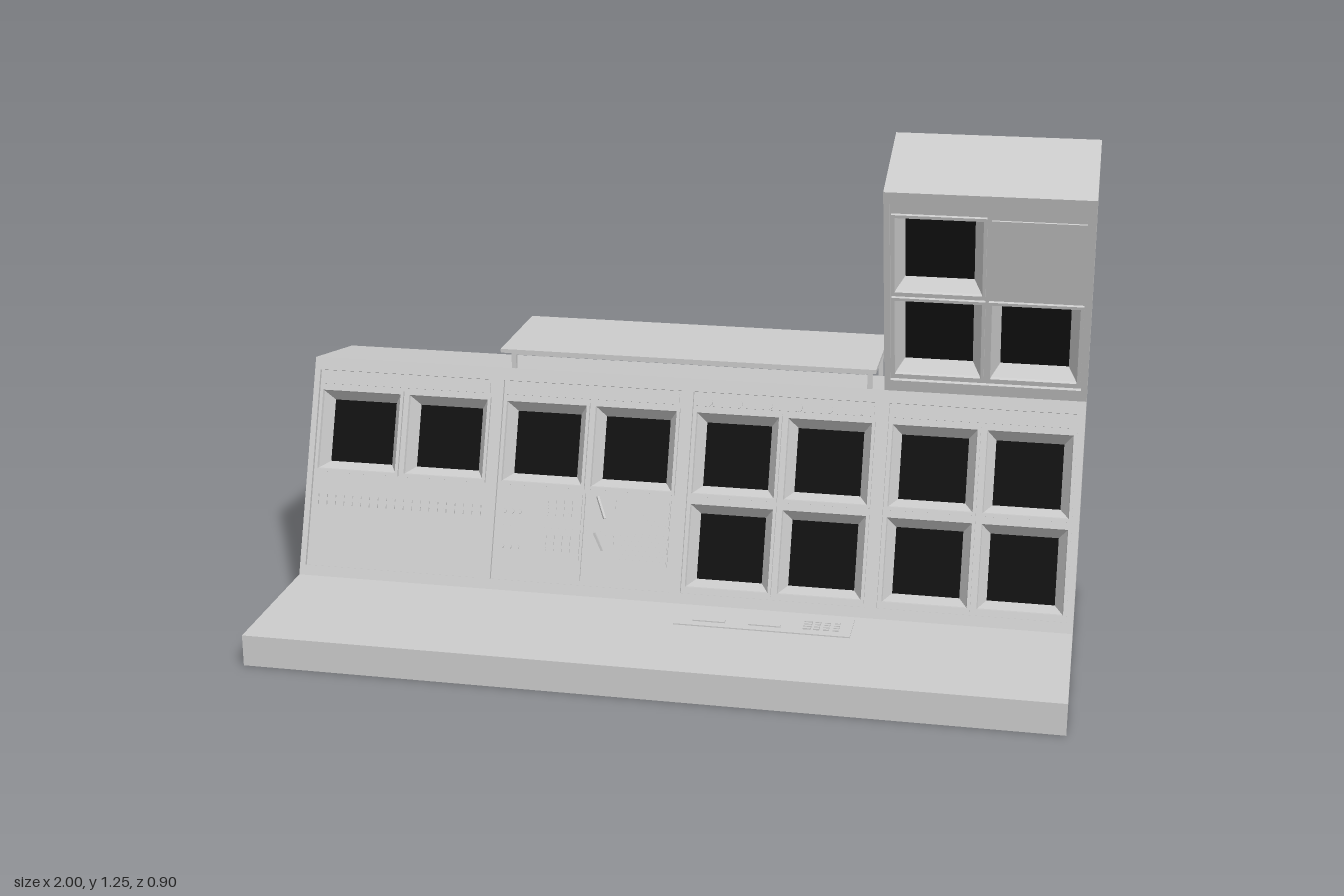
import * as THREE from 'three';

const grey = new THREE.MeshStandardMaterial({ color: 0xcccccc, side: THREE.DoubleSide });
const black = new THREE.MeshStandardMaterial({ color: 0x111111, side: THREE.DoubleSide });

function add(parent, name, geo, x = 0, y = 0, z = 0, mat = grey) {
  const m = new THREE.Mesh(geo, mat);
  m.name = name;
  m.position.set(x, y, z);
  parent.add(m);
  return m;
}
const box = (parent, name, w, h, d, x, y, z, mat) => add(parent, name, new THREE.BoxGeometry(w, h, d), x, y, z, mat);

// Flat sheet bounded by [a, b] points, with rectangular holes [x0, x1, y0, y1]
function sheet(points, holes = []) {
  const s = new THREE.Shape(points.map(p => new THREE.Vector2(...p)));
  for (const [x0, x1, y0, y1] of holes)
    s.holes.push(new THREE.Path([[x0, y0], [x0, y1], [x1, y1], [x1, y0]].map(p => new THREE.Vector2(...p))));
  return new THREE.ShapeGeometry(s);
}
const rect = ([x0, x1, y0, y1]) => [[x0, y0], [x1, y0], [x1, y1], [x0, y1]];

// Rectangular ring surface through successive [inset, z] loops
function rectLoft([x0, x1, y0, y1], loops) {
  const pos = [], idx = [];
  for (const [i, z] of loops)
    pos.push(x0 + i, y0 + i, z, x1 - i, y0 + i, z, x1 - i, y1 - i, z, x0 + i, y1 - i, z);
  for (let l = 0; l < loops.length - 1; l++)
    for (let k = 0; k < 4; k++) {
      const a = l * 4 + k, b = l * 4 + (k + 1) % 4;
      idx.push(a, b, b + 4, a, b + 4, a + 4);
    }
  let g = new THREE.BufferGeometry();
  g.setAttribute('position', new THREE.Float32BufferAttribute(pos, 3));
  g.setIndex(idx);
  g = g.toNonIndexed();
  g.computeVertexNormals();
  return g;
}

// Quad strip across x following a [z, y] path
function strip(parent, name, x0, x1, path) {
  for (let i = 0; i < path.length - 1; i++) {
    const [z0, y0] = path[i], [z1, y1] = path[i + 1];
    const m = add(parent, name, new THREE.PlaneGeometry(x1 - x0, Math.hypot(z1 - z0, y1 - y0)),
      (x0 + x1) / 2, (y0 + y1) / 2, (z0 + z1) / 2);
    m.rotation.x = Math.atan2(z1 - z0, y1 - y0);
  }
}

// Side wall from a [z, y] outline
function wall(parent, name, x, outline) {
  add(parent, name, sheet(outline.map(([z, y]) => [-z, y])), x).rotation.y = Math.PI / 2;
}

// Bar between two points
function bar(parent, name, a, b, t) {
  const A = new THREE.Vector3(...a), B = new THREE.Vector3(...b);
  const m = box(parent, name, t, t, A.distanceTo(B), 0, 0, 0);
  m.position.copy(A).add(B).multiplyScalar(0.5);
  m.lookAt(B);
}

const SET = -0.01; // depth of the bay panels behind the sloped face

// Sloped face whose local y runs up the slope and local z points outward
function face(parent, name, [z0, y0], [z1, y1]) {
  const g = new THREE.Group();
  g.name = name;
  g.position.set(0, y0, z0);
  g.rotation.x = Math.atan2(z1 - z0, y1 - y0);
  parent.add(g);
  const len = Math.hypot(z1 - z0, y1 - y0);
  return { g, len, V: y => (y - y0) * len / (y1 - y0) };
}

function monitor(g, r) {
  add(g, 'monitorBezel', rectLoft(r, [[0, SET], [0, -0.002], [0.008, -0.002], [0.01, SET], [0.03, -0.045]]));
  const [x0, x1, y0, y1] = r;
  add(g, 'monitorScreen', new THREE.PlaneGeometry(x1 - x0 - 0.06, y1 - y0 - 0.06),
    (x0 + x1) / 2, (y0 + y1) / 2, -0.045, black);
}

// Recessed bay with its monitors and header strip
function bay(g, r, screens, headerY) {
  add(g, 'bayEdge', rectLoft(r, [[0, 0], [0, SET]]));
  add(g, 'bayPanel', sheet(rect(r), screens), 0, 0, SET);
  screens.forEach(s => monitor(g, s));
  box(g, 'headerStrip', 0.455, 0.026, 0.005, (r[0] + r[1]) / 2, headerY, SET + 0.002);
}

function knob(g, x, y, r, d = 0.008) {
  add(g, 'knob', new THREE.CylinderGeometry(r, r, d, 10), x, y, SET + d / 2).rotation.x = Math.PI / 2;
}

export function createModel() {
  const root = new THREE.Group();
  root.name = 'controlConsole';
  const desk = [0.05, 0.08], ridge = [-0.155, 0.615], brow = [0.02, 1.16], back = [-0.435, 0.565];

  // Open-backed shell
  strip(root, 'desk', -1, 1, [[0.45, 0], [0.45, 0.08], desk]);
  strip(root, 'consoleTop', -1, 1, [ridge, back]);
  for (const x of [-1, 1])
    wall(root, 'endWall', x, [[0.45, 0], [0.45, 0.08], desk, ridge, back, [-0.435, 0]]);
  for (const x of [0.5, 1])
    wall(root, 'towerWall', x, [ridge, brow, [-0.26, 1.25], [-0.44, 0.85], [-0.44, 0.565]]);
  strip(root, 'towerTop', 0.5, 1, [brow, [-0.26, 1.25]]);

  // Lower sloped face with four bays
  const low = face(root, 'lowerFace', desk, ridge), { g, V } = low;
  const bays = [-0.75, -0.25, 0.25, 0.75].map(c => [c - 0.235, c + 0.235, V(0.105), V(0.585)]);
  add(g, 'facePanel', sheet(rect([-1, 1, 0, low.len]), bays));
  const row = (c, y0, y1, v) => [[c - 0.232, c - 0.004, v(y0), v(y1)], [c + 0.004, c + 0.232, v(y0), v(y1)]];
  bays.forEach((r, i) => {
    const c = (r[0] + r[1]) / 2;
    const screens = row(c, 0.335, 0.543, V);
    if (i > 1) screens.push(...row(c, 0.113, 0.325, V));
    bay(g, r, screens, V(0.564));
  });

  // Knobs along the third bay's header
  for (let i = 0; i < 6; i++) knob(g, 0.055 + i * 0.077, V(0.562), 0.011);

  // Jack rows in the first bay
  for (let i = 0; i < 20; i++) {
    box(g, 'jack', 0.01, 0.007, 0.008, -0.97 + i * 0.0232, V(0.277), SET + 0.003);
    box(g, 'jack', 0.01, 0.01, 0.008, -0.97 + i * 0.0232, V(0.26), SET + 0.003);
  }

  // Rack units in the second bay
  for (const y of [0.285, 0.2]) {
    const v = V(y);
    box(g, 'rackUnit', 0.222, 0.078, 0.005, -0.368, v, SET + 0.002);
    box(g, 'rackUnit', 0.222, 0.078, 0.005, -0.136, v, SET + 0.002);
    for (let i = 0; i < 3; i++) knob(g, -0.46 + i * 0.02, v - 0.015, 0.006, 0.009);
    for (let i = 0; i < 12; i++)
      box(g, 'rackButton', 0.012, 0.009, 0.009, -0.35 + (i % 4) * 0.021, v - 0.015 + Math.floor(i / 4) * 0.016, SET + 0.004);
    box(g, 'rackDrawer', 0.075, 0.028, 0.008, -0.205, v + 0.017, SET + 0.003);
    bar(g, 'drawerHandle', [-0.235, v + 0.01, -0.001], [-0.175, v + 0.01, -0.001], 0.006);
    for (let i = 0; i < 6; i++)
      box(g, 'ventSlat', 0.125, 0.005, 0.009, -0.09, v - 0.03 + i * 0.012, SET + 0.004);
  }
  box(g, 'rackDivider', 0.006, V(0.325) - V(0.115), 0.008, -0.252, V(0.22), SET + 0.003);

  // Tower face leaning forward, with three monitors and a blank plate
  const up = face(root, 'towerFace', ridge, brow);
  const tr = [0.515, 0.985, up.V(0.645), up.V(1.13)];
  add(up.g, 'facePanel', sheet(rect([0.5, 1, 0, up.len]), [tr]));
  const lower = row(0.75, 0.655, 0.877, up.V), upper = row(0.75, 0.885, 1.1, up.V);
  bay(up.g, tr, [...lower, upper[0]], up.V(1.115));
  box(up.g, 'blankPlate', 0.224, 0.185, 0.005, 0.868, up.V(1.005), SET + 0.002);

  // Control plate set in the desk
  box(root, 'deskPlate', 0.44, 0.004, 0.11, 0.245, 0.081, 0.125);
  for (const x of [0.11, 0.25]) box(root, 'deskSlot', 0.08, 0.004, 0.016, x, 0.084, 0.148);
  for (let i = 0; i < 16; i++)
    box(root, 'deskKey', i % 4 ? 0.014 : 0.02, 0.005, 0.009, 0.355 + (i % 4) * 0.024, 0.084, 0.108 + Math.floor(i / 4) * 0.014);

  // Shelf behind the console on braced legs
  box(root, 'shelf', 0.97, 0.01, 0.32, -0.005, 0.667, -0.295);
  for (const s of [-1, 1]) {
    const x = s * 0.462;
    bar(root, 'frontLeg', [x, 0.61, -0.165], [x, 0.662, -0.165], 0.012);
    bar(root, 'backLeg', [x, 0.475, -0.437], [x, 0.662, -0.437], 0.012);
    bar(root, 'shelfRail', [x, 0.656, -0.165], [x, 0.656, -0.437], 0.012);
    bar(root, 'shelfBrace', [x, 0.52, -0.437], [s * 0.32, 0.657, -0.437], 0.01);
    box(root, 'legFoot', 0.07, 0.006, 0.07, x, 0.475, -0.405);
  }
  for (const z of [-0.165, -0.437]) bar(root, 'shelfRail', [-0.462, 0.656, z], [0.462, 0.656, z], 0.01);
  return root;
}
